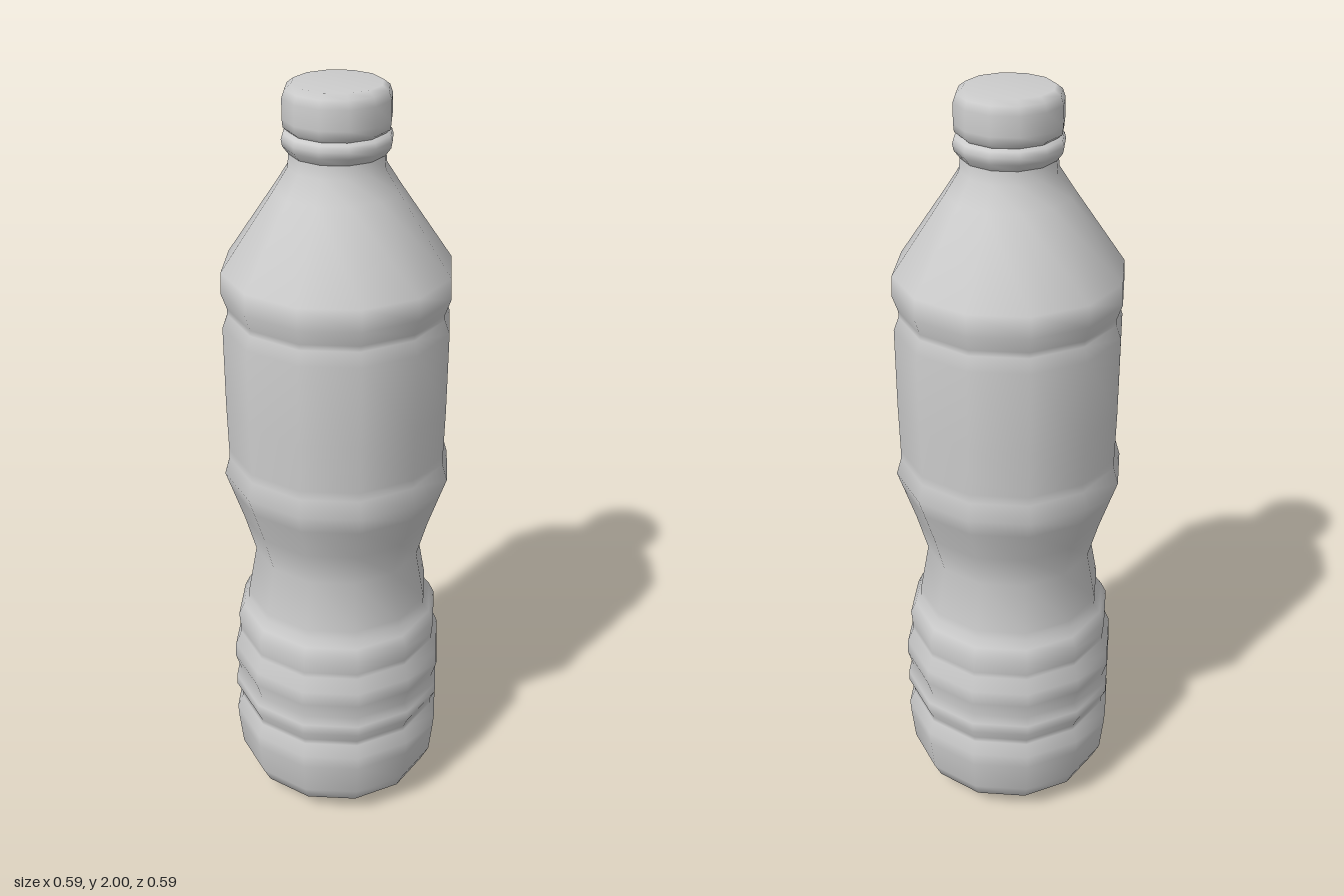
import * as THREE from 'three';

const SIDES = 12;

// Smooth twelve-sided shell turned from [radius, height] pairs, bottom to top
function turned(name, profile, material) {
  const points = profile.map(([r, y]) => new THREE.Vector2(r, y));
  const mesh = new THREE.Mesh(new THREE.LatheGeometry(points, SIDES), material);
  mesh.name = name;
  return mesh;
}

export function createModel() {
  const plastic = new THREE.MeshStandardMaterial({ color: 0xcccccc });
  plastic.name = 'light grey plastic';

  const bottle = new THREE.Group();
  bottle.name = 'bottle';

  // Body: base, grip ribs, waist, label panel, shoulder and neck
  bottle.add(turned('body', [
    [0, 0], [0.15, 0], [0.21, 0.02], [0.255, 0.055], [0.277, 0.1], [0.287, 0.19],
    [0.29, 0.23], [0.275, 0.265], [0.275, 0.28], [0.289, 0.31], [0.289, 0.34], [0.275, 0.36],
    [0.29, 0.41], [0.288, 0.45], [0.272, 0.49], [0.272, 0.505], [0.276, 0.55],
    [0.262, 0.58], [0.246, 0.602], [0.246, 0.625], [0.222, 0.76],
    [0.25, 0.86], [0.28, 0.95], [0.297, 1.0], [0.284, 1.045], [0.284, 1.07],
    [0.287, 1.2], [0.288, 1.41], [0.275, 1.445], [0.275, 1.46], [0.289, 1.5], [0.287, 1.555],
    [0.155, 1.75], [0.12, 1.805], [0.116, 1.845],
  ], plastic));

  // Collar ring under the cap
  bottle.add(turned('collarRing', [
    [0.115, 1.835], [0.131, 1.856], [0.134, 1.872], [0.13, 1.886], [0.115, 1.892],
  ], plastic));

  // Screw cap
  bottle.add(turned('cap', [
    [0.115, 1.888], [0.129, 1.9], [0.131, 1.92], [0.131, 1.968], [0.124, 1.988], [0.108, 2], [0, 2],
  ], plastic));

  return bottle;
}
